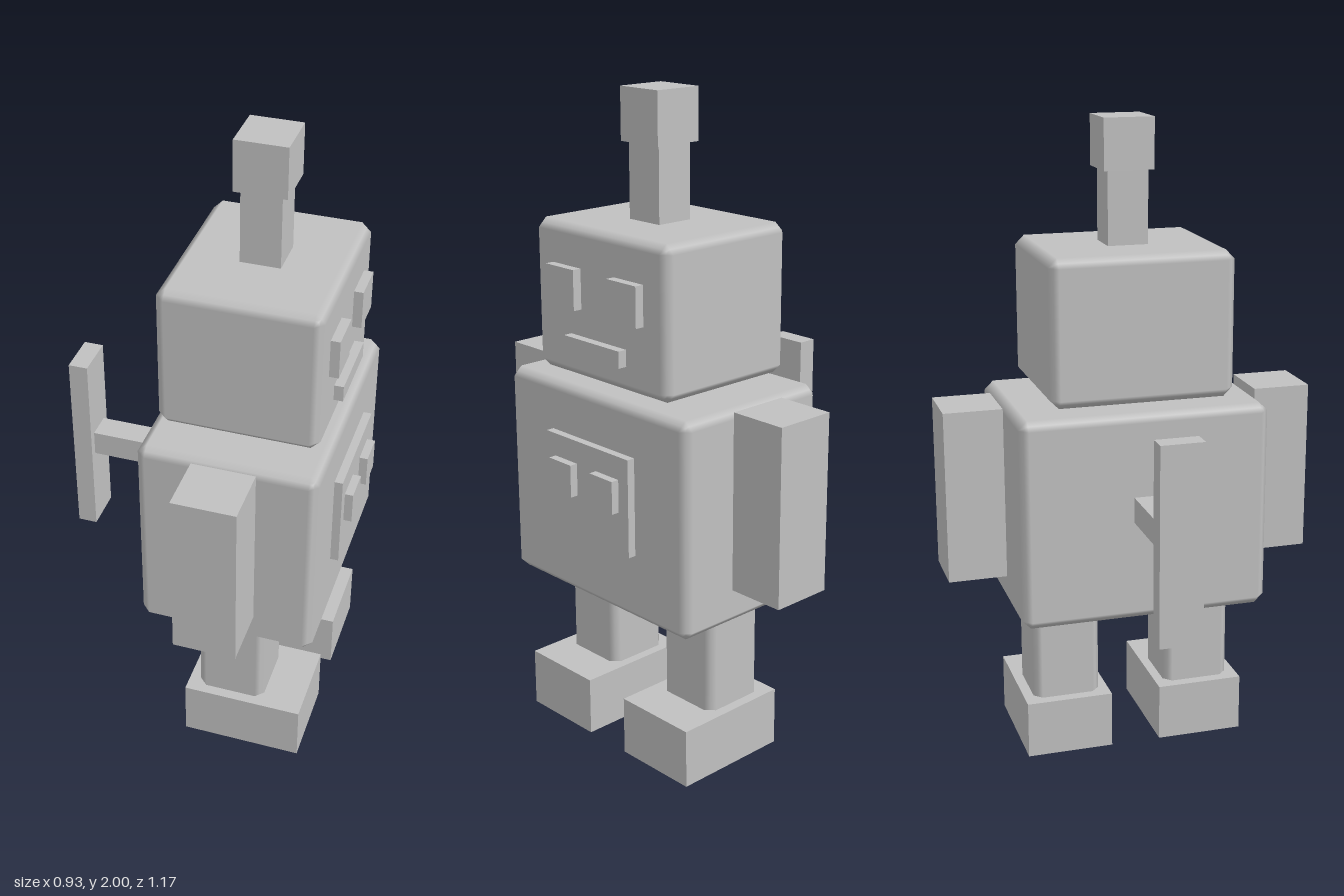
import * as THREE from 'three';

const grey = new THREE.MeshStandardMaterial({ color: 0xc0c0c0 });
grey.name = 'plain grey';

// Box with flat-cut edges and smooth normals, made by moving a 3x3x3 box grid
function chamferBox(size, cut) {
  const geometry = new THREE.BoxGeometry(1, 1, 1, 3, 3, 3);
  const pos = geometry.attributes.position;
  const nor = geometry.attributes.normal;
  const inset = [0, 0, cut / 2, (cut * 2) / 3]; // by number of faces met: face, edge, corner
  const n = new THREE.Vector3();
  for (let i = 0; i < pos.count; i++) {
    const p = [pos.getX(i), pos.getY(i), pos.getZ(i)];
    const outer = p.map((v) => Math.abs(v) > 0.4);
    const met = outer.filter(Boolean).length;
    const q = p.map((v, k) => Math.sign(v) * (size[k] / 2 - (outer[k] ? inset[met] : cut)));
    n.set(...p.map((v, k) => (outer[k] ? Math.sign(v) : 0))).normalize();
    pos.setXYZ(i, ...q);
    nor.setXYZ(i, n.x, n.y, n.z);
  }
  return geometry;
}

export function createModel() {
  const robot = new THREE.Group();
  robot.name = 'toyRobot';

  // Adds a block from its [min, max] range on each axis
  function block(name, x, y, z, cut = 0) {
    const ranges = [x, y, z];
    const size = ranges.map(([a, b]) => b - a);
    const geometry = cut ? chamferBox(size, cut) : new THREE.BoxGeometry(...size);
    const mesh = new THREE.Mesh(geometry, grey);
    mesh.name = name;
    mesh.position.set(...ranges.map(([a, b]) => (a + b) / 2));
    robot.add(mesh);
  }

  // Torso and head, the robot looks along +x
  block('torso', [-0.13, 0.412], [0.49, 1.15], [-0.392, 0.39], 0.028);
  block('head', [-0.10, 0.382], [1.17, 1.62], [-0.287, 0.285], 0.028);

  // Antenna
  block('antennaStem', [0.08, 0.2], [1.61, 1.85], [-0.063, 0.063]);
  block('antennaTip', [0.062, 0.218], [1.845, 2], [-0.079, 0.077]);

  // Mouth and chest panel
  block('mouth', [0.375, 0.41], [1.25, 1.3], [-0.12, 0.12]);
  block('chestPanel', [0.405, 0.437], [0.7, 1], [-0.182, 0.18]);

  // Wind-up key on the back
  block('keyShaft', [-0.41, -0.12], [0.81, 0.89], [-0.043, 0.041]);
  block('keyPlate', [-0.463, -0.403], [0.54, 1.155], [-0.068, 0.066]);

  // Paired parts, mirrored across z
  for (const side of [-1, 1]) {
    const pair = (name, x, y, [a, b], cut) =>
      block((side < 0 ? 'left' : 'right') + name, x, y, side < 0 ? [-b, -a] : [a, b], cut);
    pair('Arm', [0.045, 0.237], [0.61, 1.15], [0.404, 0.586]);
    pair('Leg', [0.035, 0.248], [0.15, 0.53], [0.11, 0.325], 0.025);
    pair('Foot', [0, 0.377], [0, 0.183], [0.08, 0.357]);
    pair('Eye', [0.375, 0.41], [1.38, 1.5], [0.072, 0.194]);
    pair('Button', [0.43, 0.462], [0.83, 0.93], [0.043, 0.141]);
  }
  return robot;
}
